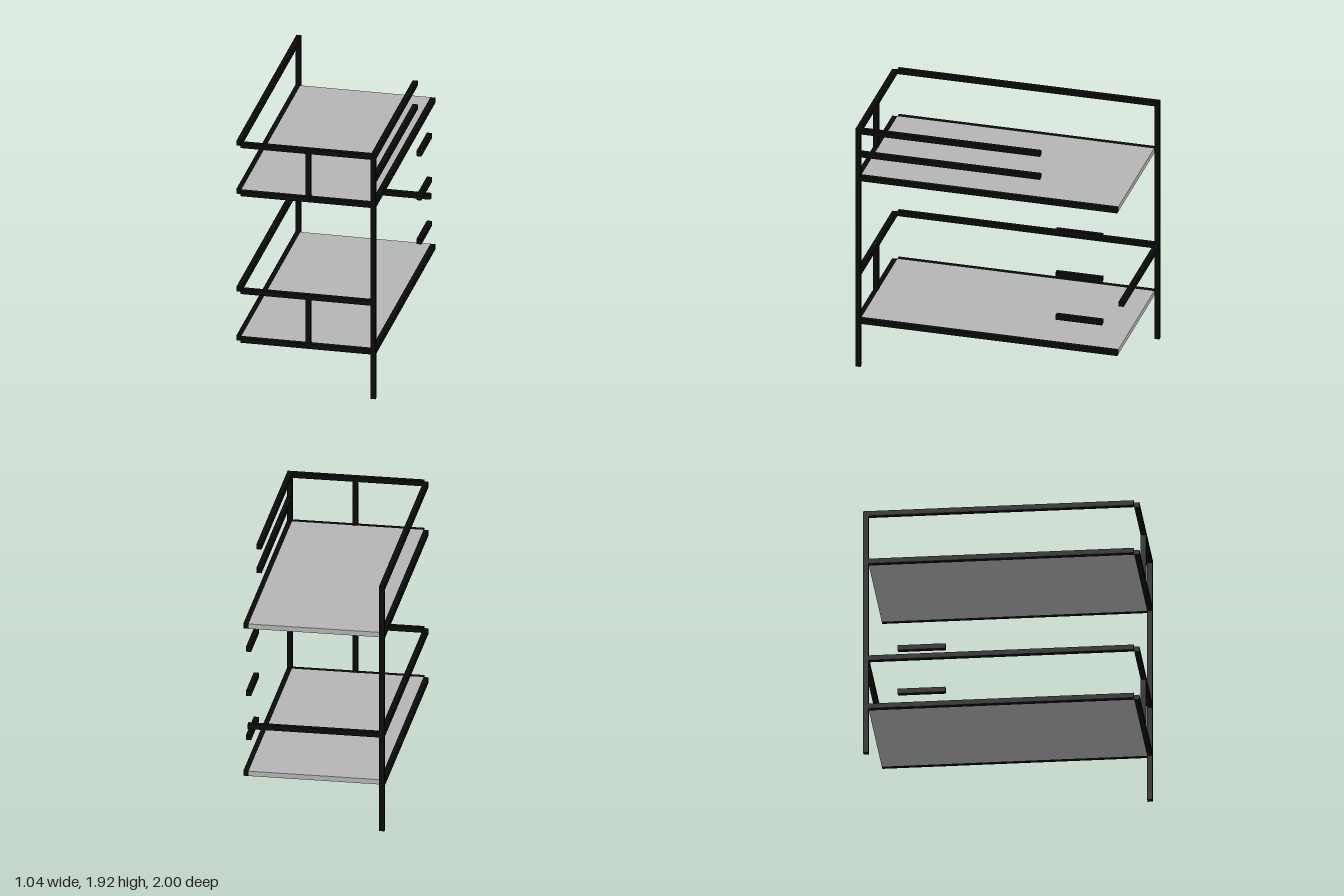
import * as THREE from 'three';

const T = 0.038;          // bar thickness
const H = T / 2;
const X = 0.5, Z = 0.981; // centre lines of the side and end bars

export function createModel() {
  const model = new THREE.Group();
  model.name = 'bunkBed';

  const frameBlack = new THREE.MeshStandardMaterial({ color: 0x0a0a0a });
  frameBlack.name = 'frameBlack';
  const boardGrey = new THREE.MeshStandardMaterial({ color: 0xb4b4b4 });
  boardGrey.name = 'boardGrey';

  // Box given by its lower and upper limits on each axis
  function box(name, [x0, x1], [y0, y1], [z0, z1], material = frameBlack) {
    const mesh = new THREE.Mesh(new THREE.BoxGeometry(x1 - x0, y1 - y0, z1 - z0), material);
    mesh.position.set((x0 + x1) / 2, (y0 + y1) / 2, (z0 + z1) / 2);
    mesh.name = name;
    model.add(mesh);
  }
  const around = (c) => [c - H, c + H];

  // Bars along each axis
  const barX = (name, y, z, x0, x1) => box(name, [x0, x1], around(y), around(z));
  const barY = (name, x, z, y0, y1) => box(name, around(x), [y0, y1], around(z));
  const barZ = (name, x, y, z0, z1) => box(name, around(x), around(y), [z0, z1]);

  // Two full-height posts on opposite corners
  barY('frontLeftPost', X, Z, 0, 1.92);
  barY('backRightPost', -X, -Z, 0, 1.92);

  // Each bunk: board, bed rails, guard rails and a front upright
  const bunks = [
    { name: 'lower', bed: 0.368, guard: 0.752 },
    { name: 'upper', bed: 1.522, guard: 1.901 },
  ];
  for (const { name, bed, guard } of bunks) {
    box(name + 'Board', [-X + H, X - H], around(bed), [-Z + H, Z - H], boardGrey);
    barZ(name + 'LeftBedRail', X, bed, -Z + H, Z + H);
    for (const [part, y] of [['BedRail', bed], ['GuardRail', guard]]) {
      barZ(name + 'Right' + part, -X, y, -Z - H, Z - H);
      barX(name + 'Front' + part, y, Z, -X + H, X + H);
    }
    barY(name + 'FrontUpright', H, Z, bed + H, guard - H);
  }

  // Back rail of the lower bunk
  barX('lowerBackRail', bunks[0].guard, -Z, -X - H, X - H);

  // Shorter guard rails of the upper bunk, leaving room for the ladder
  for (const y of [1.715, 1.901]) barZ('upperLeftGuardRail', X, y, -0.383, Z + H);

  // Ladder rungs
  for (const y of [0.6, 0.946, 1.292]) barZ('ladderRung', X, y, -0.847, -0.5);

  return model;
}
